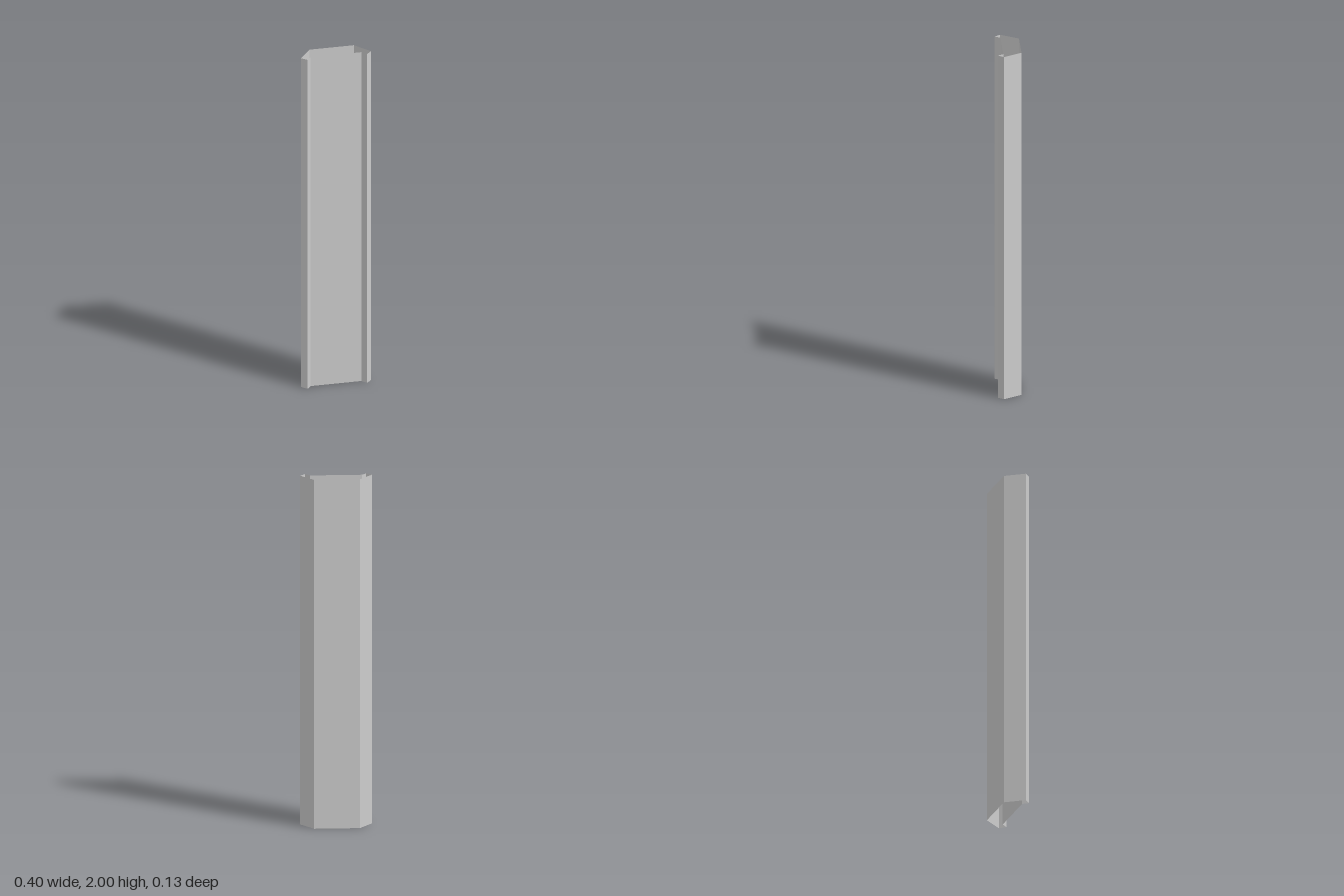
import * as THREE from 'three';

const HEIGHT = 2;

// One side of the folded-sheet cross-section as [x, z], from back plate round to front plate
const half = [[0.127, -0.067], [0.2, 0.035], [0.17, 0.067], [0.145, 0.035]];
const names = ['sideFlange', 'outerLip', 'innerLip'];

const material = new THREE.MeshStandardMaterial({ color: 0xcccccc, flatShading: true, side: THREE.DoubleSide });

// Upright flat strip standing on the line from a to b
function strip(name, a, b) {
  const length = Math.hypot(b[0] - a[0], b[1] - a[1]);
  const mesh = new THREE.Mesh(new THREE.PlaneGeometry(length, HEIGHT), material);
  mesh.position.set((a[0] + b[0]) / 2, HEIGHT / 2, (a[1] + b[1]) / 2);
  mesh.rotation.y = -Math.atan2(b[1] - a[1], b[0] - a[0]);
  mesh.name = name;
  return mesh;
}

export function createModel() {
  const group = new THREE.Group();
  group.name = 'hollowProfile';
  const mirror = ([x, z]) => [-x, z];

  // Back plate, and the front plate recessed between the lips
  group.add(strip('backPlate', half[0], mirror(half[0])));
  group.add(strip('frontPlate', mirror(half[3]), half[3]));

  // Slanted flanges with their folded lips, mirrored left and right
  names.forEach((name, i) => {
    const a = half[i], b = half[i + 1];
    group.add(strip(name + 'Left', b, a));
    group.add(strip(name + 'Right', mirror(a), mirror(b)));
  });
  return group;
}
